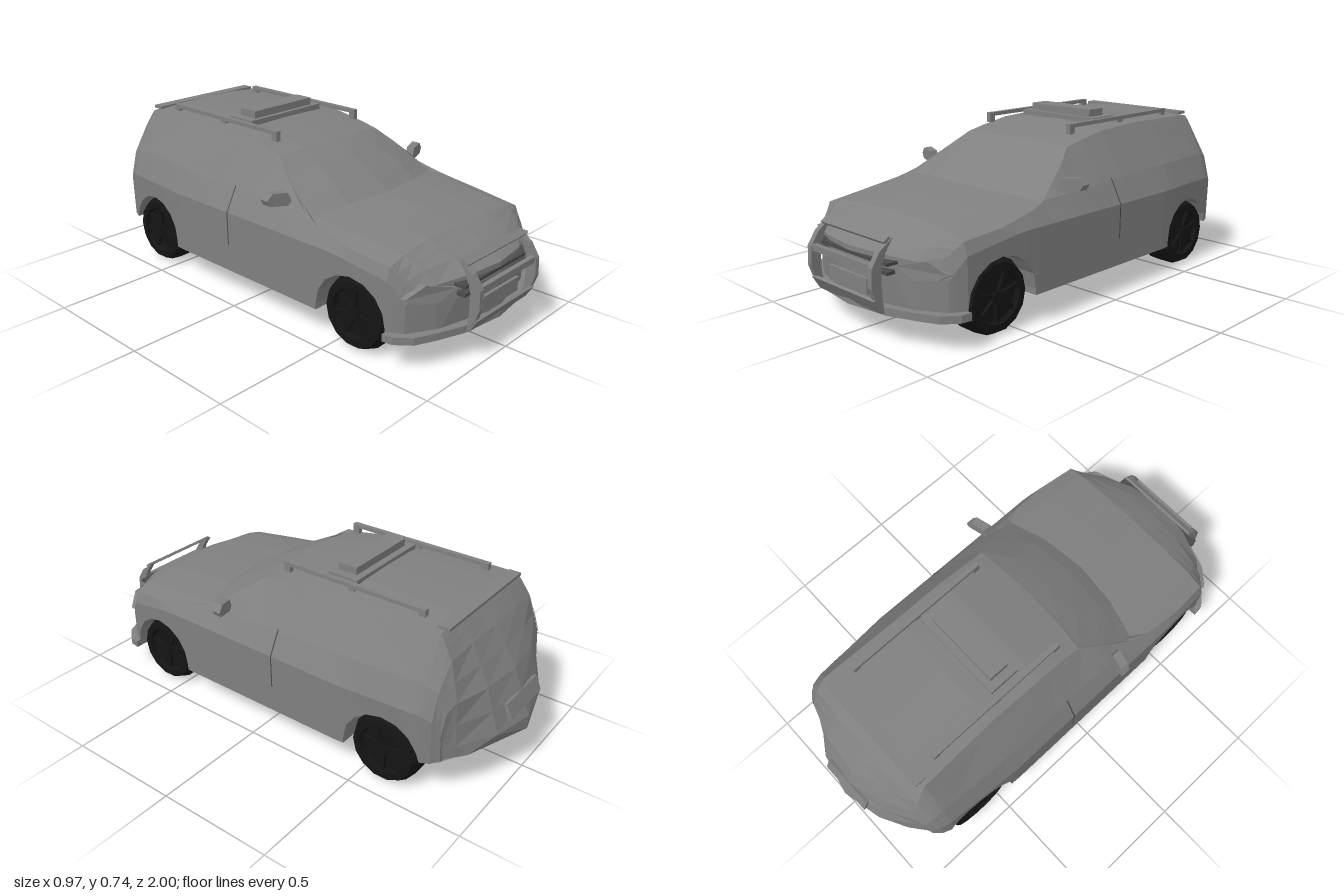
import * as THREE from 'three';

const paint = new THREE.MeshStandardMaterial({ color: 0x808080, flatShading: true, side: THREE.DoubleSide });
const rubber = new THREE.MeshStandardMaterial({ color: 0x141414, flatShading: true });
const trim = new THREE.MeshStandardMaterial({ color: 0x4a4a4a, flatShading: true, side: THREE.DoubleSide });

// Piecewise-linear curve over z; keys are listed from front to back
const curve = (...keys) => z => {
  if (z >= keys[0][0]) return keys[0][1];
  for (let i = 1; i < keys.length; i++) {
    const [z0, v0] = keys[i - 1], [z1, v1] = keys[i];
    if (z >= z1) return v0 + (v1 - v0) * (z0 - z) / (z0 - z1);
  }
  return keys[keys.length - 1][1];
};
const floorY = curve([-0.44, 0.125], [-0.77, 0.175], [-1, 0.19]);
const sillX = curve([0.95, 0.40], [0.76, 0.435], [0.5, 0.45], [-0.4, 0.45], [-0.75, 0.425], [-1, 0.36]);
const midX = curve([0.95, 0.40], [0.76, 0.435], [0.5, 0.452], [-0.4, 0.455], [-0.75, 0.43], [-0.85, 0.405], [-1, 0.37]);
const midY = curve([0.95, 0.26], [0.76, 0.35], [0.5, 0.39], [-0.75, 0.39], [-0.85, 0.36], [-1, 0.22]);
const beltX = curve([0.95, 0.36], [0.76, 0.415], [0.57, 0.43], [0.4, 0.415], [0.33, 0.40], [0.1, 0.405], [-0.5, 0.405], [-0.75, 0.39], [-0.92, 0.37], [-1, 0.36]);
const beltY = curve([0.95, 0.31], [0.76, 0.40], [0.57, 0.42], [0.4, 0.45], [0.33, 0.47], [-0.5, 0.50], [-0.75, 0.50], [-0.82, 0.48], [-0.92, 0.40], [-1, 0.23]);
const edgeX = curve([0.95, 0.30], [0.76, 0.34], [0.57, 0.36], [0.4, 0.375], [0.33, 0.37], [0.195, 0.335], [0.1, 0.295], [-0.39, 0.29], [-0.75, 0.30], [-0.92, 0.33], [-1, 0.33]);
const edgeY = curve([0.95, 0.33], [0.87, 0.375], [0.76, 0.42], [0.57, 0.445], [0.4, 0.465], [0.33, 0.50], [0.195, 0.575], [0.1, 0.63], [-0.14, 0.672], [-0.39, 0.682], [-0.75, 0.675], [-0.82, 0.585], [-0.92, 0.43], [-1, 0.24]);
const topY = curve([0.95, 0.345], [0.87, 0.39], [0.76, 0.44], [0.57, 0.467], [0.4, 0.483], [0.33, 0.53], [0.195, 0.60], [0.1, 0.642], [-0.14, 0.688], [-0.39, 0.70], [-0.75, 0.69], [-0.82, 0.60], [-0.92, 0.44], [-1, 0.25]);
const endBow = curve([0.95, 0.17], [0.87, 0.09], [0.76, 0], [-0.77, 0], [-0.82, -0.02], [-0.92, -0.12], [-1, -0.25]);
const glassBow = curve([0.7, 0], [0.4, 0.1], [0.1, 0.04], [0, 0]);

// Half cross-section from floor centre, around the wheel well and side, to the top centre
function halfSection(z, lift = floorY(z)) {
  const b = floorY(z), ex = edgeX(z), ey = edgeY(z), ty = topY(z);
  return [[0, b], [0.29, b], [0.29, lift], [sillX(z), lift], [midX(z), midY(z)], [beltX(z), beltY(z)],
    [ex, ey], [ex * 0.55, ey + (ty - ey) * 0.8], [0, ty]].map(([x, y], i) =>
    new THREE.Vector3(x, y, z - (endBow(z) + (i > 5 ? glassBow(z) : 0)) * (x / 0.45) ** 2));
}

function geometryFrom(points, index) {
  const g = new THREE.BufferGeometry().setFromPoints(points);
  g.setIndex(index);
  g.computeVertexNormals();
  return g;
}

const axles = [0.59, -0.60], axleY = 0.152, archR = 0.165;
const baseStations = [0.95, 0.87, 0.81, 0.4, 0.33, 0.195, 0.1, 0, -0.14, -0.39, -0.785, -0.82, -0.87, -0.92, -0.96, -1];

function bodyGeometry() {
  const rings = baseStations.map(z => ({ z, half: halfSection(z) }));
  for (const c of axles) {
    rings.push({ z: c + archR + 1e-4, half: halfSection(c + archR) }, { z: c - archR - 1e-4, half: halfSection(c - archR) });
    for (let k = 0; k <= 8; k++) {
      const a = Math.PI * k / 8, z = c + archR * Math.cos(a);
      rings.push({ z, half: halfSection(z, Math.max(floorY(z), axleY + archR * Math.sin(a))) });
    }
  }
  rings.sort((p, q) => q.z - p.z);
  const pts = [], idx = [], n = 16;
  for (const { half } of rings) {
    pts.push(...half);
    for (let j = 7; j > 0; j--) pts.push(new THREE.Vector3(-half[j].x, half[j].y, half[j].z));
  }
  for (let i = 0; i + 1 < rings.length; i++) for (let j = 0; j < n; j++) {
    const a = i * n + j, b = i * n + (j + 1) % n, d = a + n, c = b + n;
    idx.push(a, d, b, b, d, c);
  }
  // Nose and tail faces join the top edge to the floor edge
  const last = (rings.length - 1) * n;
  for (const [o, back] of [[0, false], [last, true]]) for (const s of [1, -1]) {
    const m = j => o + (s > 0 ? j : (n - j) % n);
    for (const [a, b, c] of [[0, 1, 7], [0, 7, 8], [1, 2, 6], [1, 6, 7], [2, 3, 5], [2, 5, 6], [3, 4, 5]])
      idx.push(...((s > 0) !== back ? [m(a), m(b), m(c)] : [m(a), m(c), m(b)]));
  }
  return geometryFrom(pts, idx);
}

// Patch lying just above the body between two z stations and two section rows
function patch(z0, z1, r0, r1, side, gap = 0.004) {
  const zs = [z0, ...baseStations.filter(z => z < z0 && z > z1), z1];
  const rs = [r0, ...[4, 5, 6, 7].filter(r => r > r0 && r < r1), r1];
  const pts = [], idx = [];
  for (const z of zs) for (const r of rs) {
    const h = halfSection(z), k = Math.min(7, Math.floor(r));
    const p = h[k].clone().lerp(h[k + 1], r - k);
    p.add(new THREE.Vector3(p.x, Math.max(0, p.y - 0.35), 0).normalize().multiplyScalar(gap));
    p.x *= side;
    pts.push(p);
  }
  const w = rs.length;
  for (let i = 0; i + 1 < zs.length; i++) for (let j = 0; j + 1 < w; j++) {
    const a = i * w + j, q = [a, a + w, a + 1, a + 1, a + w, a + w + 1];
    idx.push(...(side > 0 ? q : q.reverse()));
  }
  return geometryFrom(pts, idx);
}

const outline = (pts, depth) => new THREE.ExtrudeGeometry(
  new THREE.Shape(pts.map(p => new THREE.Vector2(...p))), { depth, bevelEnabled: false });

export function createModel() {
  const car = new THREE.Group();
  car.name = 'car';
  const add = (name, geo, mat = paint, parent = car) => {
    const m = new THREE.Mesh(geo, mat);
    m.name = name;
    parent.add(m);
    return m;
  };
  const box = (name, w, h, d, x, y, z, mat = paint) => {
    const m = add(name, new THREE.BoxGeometry(w, h, d), mat);
    m.position.set(x, y, z);
    return m;
  };

  add('body', bodyGeometry());

  // Front bumper lip
  const lip = [[0.455, 0.757], [0.45, 0.80], [0.40, 0.86], [0.31, 0.90], [0.2, 0.94], [0, 0.965]];
  const lipGeo = outline([...lip, ...lip.slice(0, 5).reverse().map(([x, z]) => [-x, z])], 0.03);
  add('bumperLip', lipGeo.rotateX(Math.PI / 2).translate(0, 0.15, 0));

  for (const s of [1, -1]) {
    const side = s > 0 ? 'left' : 'right';
    // Glass, door seam and tail lamp
    add(side + 'Windscreen', patch(0.39, 0.11, 6.1, 8, s));
    add(side + 'FrontWindow', patch(0.27, -0.06, 5.08, 5.88, s));
    add(side + 'RearWindow', patch(-0.09, -0.45, 5.08, 5.88, s));
    add(side + 'QuarterWindow', patch(-0.47, -0.68, 5.12, 5.85, s));
    add(side + 'DoorSeam', patch(-0.072, -0.078, 3.45, 5.05, s, 0.002), trim);
    add(side + 'TailLamp', patch(-0.85, -0.93, 5.1, 5.9, s, 0.006));

    // Headlamp, bent to follow the nose
    const lamp = outline([[0.23, 0.31], [0.235, 0.275], [0.30, 0.263], [0.375, 0.267], [0.41, 0.29], [0.345, 0.338]], 0.04);
    const p = lamp.attributes.position;
    for (let i = 0; i < p.count; i++) p.setZ(i, p.getZ(i) + 0.923 - 0.17 * (p.getX(i) / 0.45) ** 2);
    lamp.computeVertexNormals();
    add(side + 'Headlamp', lamp).scale.x = s;

    // Door mirror
    const mirror = outline([[0.385, 0.505], [0.40, 0.487], [0.475, 0.497], [0.487, 0.52], [0.465, 0.547], [0.40, 0.54]], 0.04);
    mirror.applyMatrix4(new THREE.Matrix4().makeShear(0, -0.3, 0, 0, 0, 0)).translate(0, 0, 0.31);
    const mp = mirror.attributes.position;
    for (let i = 0; i < mp.count; i++) mp.setY(i, Math.min(0.547, Math.max(0.487, mp.getY(i))));
    mirror.computeVertexNormals();
    add(side + 'Mirror', mirror).scale.x = s;

    // Roof rail and feet
    box(side + 'RoofRail', 0.022, 0.016, 0.67, s * 0.24, 0.703, -0.32);
    for (const z of [0.0, -0.32, -0.64]) box(side + 'RailFoot', 0.022, 0.04, 0.03, s * 0.24, 0.688, z);

    // Bull bar upright
    const upright = outline([[-0.95, 0.13], [-0.985, 0.19], [-1, 0.235], [-0.996, 0.31], [-0.96, 0.365], [-0.90, 0.407],
      [-0.935, 0.355], [-0.957, 0.29], [-0.957, 0.22]], 0.025);
    add(side + 'BullBarUpright', upright.rotateY(Math.PI / 2).translate(s * 0.193 - 0.0125, 0, 0));
  }

  // Bull bar cross members, skid plate, grille and plates
  box('bullBarTop', 0.40, 0.012, 0.03, 0, 0.397, 0.922).rotation.x = 0.6;
  box('bullBarMiddle', 0.38, 0.025, 0.02, 0, 0.305, 0.982);
  box('skidPlate', 0.40, 0.065, 0.012, 0, 0.16, 0.968).rotation.x = 0.55;
  box('frontPlate', 0.24, 0.06, 0.012, 0, 0.215, 0.956);
  for (const y of [0.285, 0.318]) box('grilleSlat', 0.46, 0.012, 0.05, 0, y, 0.925, trim);
  box('rearPlate', 0.25, 0.065, 0.015, 0, 0.325, -0.965).rotation.x = 0.4;

  // Roof equipment and tailgate lip
  box('roofPlate', 0.42, 0.025, 0.14, 0, 0.698, -0.25);
  box('roofBox', 0.345, 0.034, 0.09, 0, 0.725, -0.245);
  box('tailgateLip', 0.56, 0.012, 0.05, 0, 0.684, -0.75);

  // Wheels with chamfered tyres and spoked rims
  for (const z of axles) for (const s of [1, -1]) {
    const wheel = new THREE.Group();
    wheel.name = (z > 0 ? 'front' : 'rear') + (s > 0 ? 'Left' : 'Right') + 'Wheel';
    const profile = [[0, 0], [0.15, 0], [0.152, 0.085], [0.135, 0.12], [0.105, 0.122], [0.098, 0.10], [0, 0.10]];
    add('tyre', new THREE.LatheGeometry(profile.map(q => new THREE.Vector2(...q)), 14), rubber, wheel);
    add('hub', new THREE.CylinderGeometry(0.025, 0.03, 0.02, 10).translate(0, 0.107, 0), rubber, wheel);
    for (let k = 0; k < 7; k++)
      add('spoke', new THREE.BoxGeometry(0.085, 0.014, 0.018).translate(0.06, 0.106, 0).rotateY(k * Math.PI * 2 / 7), rubber, wheel);
    wheel.rotation.z = -s * Math.PI / 2;
    wheel.position.set(s * 0.302, axleY, z);
    car.add(wheel);
  }
  return car;
}
